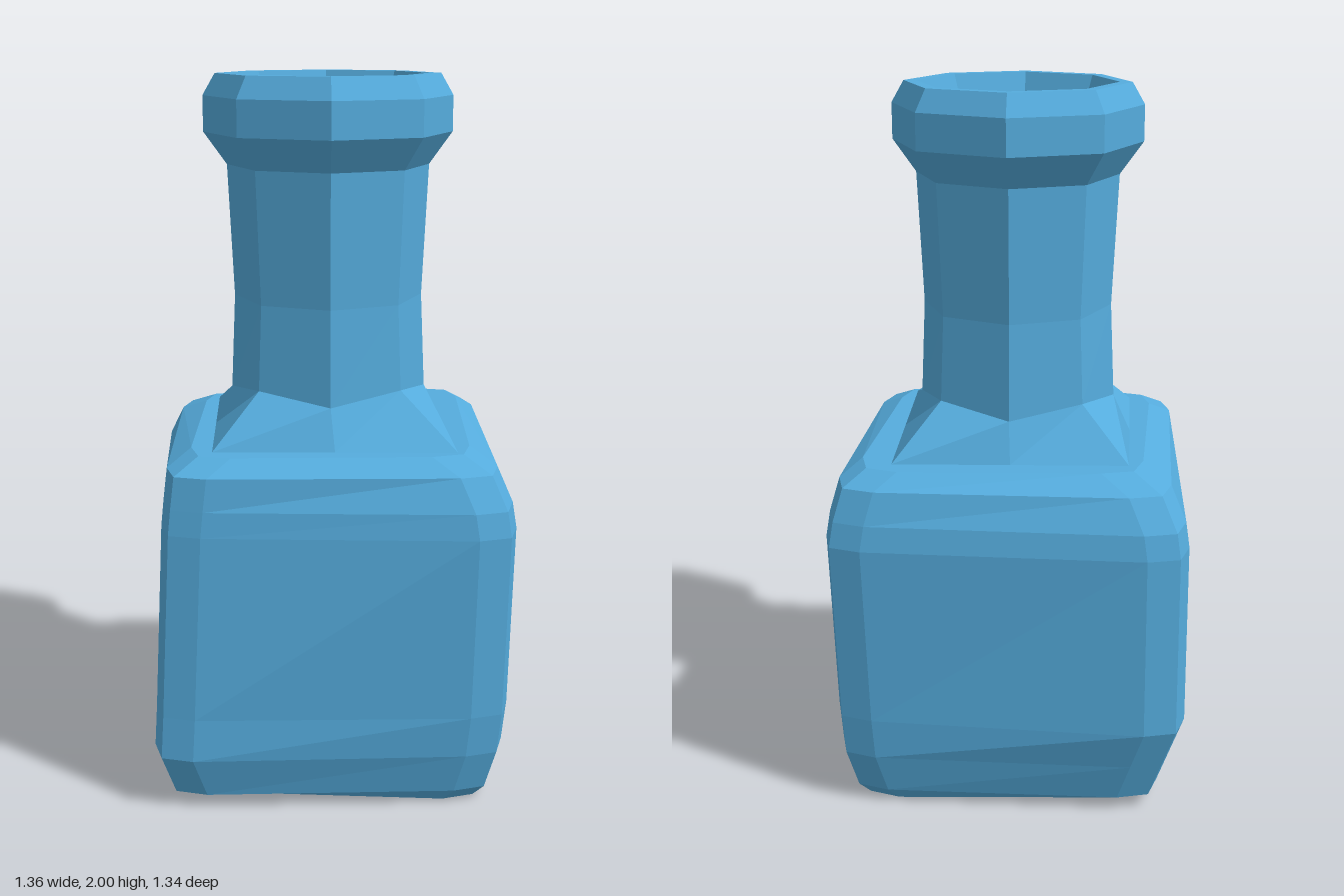
import * as THREE from 'three';

// Lofts closed rings of points from bottom to top, with optional end caps.
function loft(rings, capBottom, capTop) {
  const pos = [];
  const tri = (a, b, c) => pos.push(...a, ...b, ...c);
  const n = rings[0].length;
  for (let k = 0; k < rings.length - 1; k++) {
    const lo = rings[k], hi = rings[k + 1];
    for (let i = 0; i < n; i++) {
      const j = (i + 1) % n;
      tri(lo[i], hi[i], lo[j]);
      tri(lo[j], hi[i], hi[j]);
    }
  }
  const cap = (ring, up) => {
    const c = [0, ring.reduce((s, p) => s + p[1], 0) / n, 0];
    for (let i = 0; i < n; i++) {
      const j = (i + 1) % n;
      if (up) tri(c, ring[j], ring[i]);
      else tri(c, ring[i], ring[j]);
    }
  };
  if (capBottom) cap(rings[0], false);
  if (capTop) cap(rings[rings.length - 1], true);
  const g = new THREE.BufferGeometry();
  g.setAttribute('position', new THREE.Float32BufferAttribute(pos, 3));
  g.computeVertexNormals();
  return g;
}

// Diamond ring with blunted corners; d = reach toward +x, +z, -x, -z.
function diamond(y, d, blunt = 0.08) {
  const pts = [];
  d.forEach((r, q) => {
    const a = q * Math.PI / 2, c = Math.cos(a), s = Math.sin(a);
    for (const [u, v] of [[r - 0.045, -blunt], [r, 0], [r - 0.045, blunt]]) {
      pts.push([u * c - v * s, y, u * s + v * c]);
    }
  });
  return pts;
}

// Eight-sided ring with corners on the axes.
function octagon(y, r, lift = 0) {
  return Array.from({ length: 8 }, (_, i) => {
    const a = i * Math.PI / 4;
    return [r * Math.cos(a), y + (i % 2 ? 0 : lift), r * Math.sin(a)];
  });
}

export function createModel() {
  const glass = new THREE.MeshStandardMaterial({ color: 0x55acdd, flatShading: true });
  glass.name = 'blueGlass';
  const violet = new THREE.MeshStandardMaterial({ color: 0x6686dc });
  violet.name = 'violetLiquid';

  const group = new THREE.Group();
  group.name = 'bottle';
  const add = (name, geometry, material) => {
    const mesh = new THREE.Mesh(geometry, material);
    mesh.name = name;
    group.add(mesh);
    return mesh;
  };

  // Chunky, slightly uneven square body turned on its corner
  add('body', loft([
    diamond(0.00, [0.57, 0.50, 0.45, 0.56]),
    diamond(0.04, [0.61, 0.62, 0.58, 0.60]),
    diamond(0.16, [0.65, 0.67, 0.63, 0.64]),
    diamond(0.28, [0.665, 0.66, 0.68, 0.65]),
    diamond(0.80, [0.68, 0.625, 0.675, 0.67]),
    diamond(0.87, [0.665, 0.615, 0.66, 0.655]),
    diamond(0.96, [0.61, 0.60, 0.60, 0.62]),
    diamond(1.00, [0.51, 0.51, 0.49, 0.54]),
  ], true, true), glass);

  // Shoulder flaring from the octagonal neck to a square foot
  const tips = [[0.49, 0], [0, 0.46], [-0.45, 0.02], [-0.02, -0.47]];
  const foot = [];
  tips.forEach(([x, z], i) => {
    const [x2, z2] = tips[(i + 1) % 4];
    foot.push([x, 1, z], [(x + x2) / 2, 1, (z + z2) / 2]);
  });
  const neckBase = octagon(1.11, 0.28, 0.03);
  add('shoulder', loft([foot, neckBase]), glass);

  // Neck with a gentle waist
  add('neck', loft([neckBase, octagon(1.38, 0.268), octagon(1.75, 0.285)]), glass);

  // Rolled lip, turning over into the mouth
  add('lip', loft([
    octagon(1.75, 0.285), octagon(1.84, 0.35), octagon(1.94, 0.35),
    octagon(2.00, 0.315), octagon(2.00, 0.28), octagon(1.93, 0.255),
  ]), glass);

  // Inner wall and domed surface of the contents
  add('mouthWall', loft([octagon(1.93, 0.255), octagon(1.84, 0.255)]), violet);
  const R = 0.34, angle = Math.asin(0.255 / R);
  const dome = new THREE.SphereGeometry(R, 32, 10, 0, Math.PI * 2, 0, angle);
  dome.translate(0, -R * Math.cos(angle), 0);
  dome.scale(1, 0.6, 1);
  add('liquid', dome, violet).position.y = 1.84;

  return group;
}
